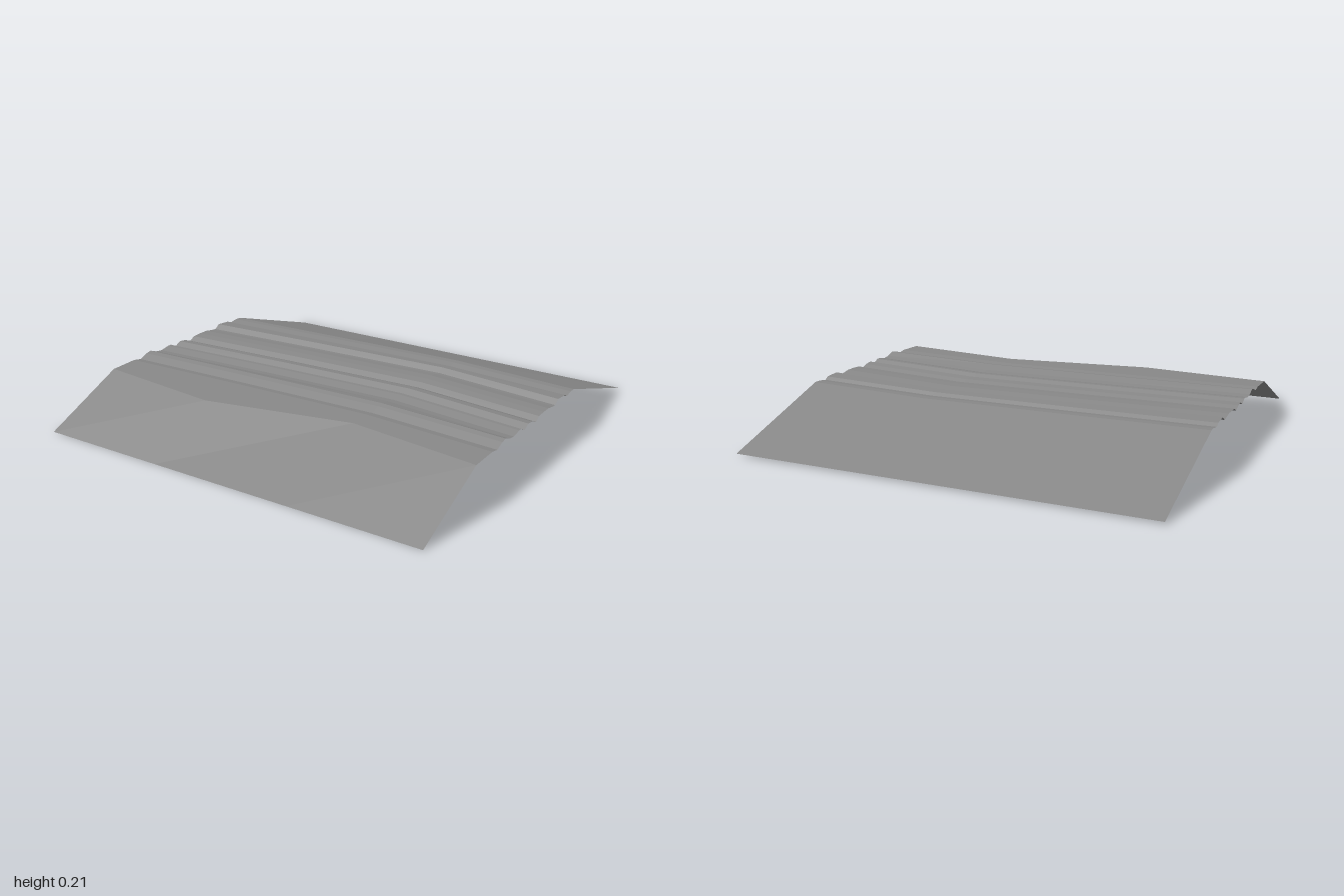
import * as THREE from 'three';

// Cross-section from front edge to back edge at the two side ends: [z, y]
const PROFILE = [
  [1, 0], [0.59, 0.19], [0.45, 0.195], [0.405, 0.187], [0.36, 0.205], [0.33, 0.21],
  [0.29, 0.195], [0.25, 0.19], [0.2, 0.2], [0.18, 0.2], [0.145, 0.182], [0.11, 0.2],
  [0.07, 0.195], [0.03, 0.18], [0, 0.197], [-0.05, 0.2], [-0.1, 0.2], [-0.15, 0.192],
  [-0.175, 0.19], [-0.205, 0.21], [-0.28, 0.205], [-0.3, 0.192], [-0.35, 0.2],
  [-0.385, 0.2], [-1, 0.01],
];

// Stations across the width: the ridges drift backwards, the front lip swings
const STATIONS = [
  { x: -1, shift: 0, lip: 0.59, lipY: 0.19 },
  { x: -0.36, shift: -0.04, lip: 0.65, lipY: 0.185 },
  { x: 0.36, shift: -0.075, lip: 0.51, lipY: 0.192 },
  { x: 1, shift: 0, lip: 0.59, lipY: 0.19 },
];

function sectionPoint(station, j) {
  const [z, y] = PROFILE[j];
  if (j === 0 || j === PROFILE.length - 1) return [station.x, y, z];
  if (j === 1) return [station.x, station.lipY, station.lip];
  // the drift eases off towards the front and back shoulders
  const ease = z > 0.3 ? 0.65 : z < -0.27 ? 0.65 : 1;
  return [station.x, y, z + station.shift * ease];
}

export function createModel() {
  const group = new THREE.Group();
  group.name = 'embankment';

  const stone = new THREE.MeshStandardMaterial({ color: 0x888888, side: THREE.DoubleSide, flatShading: true });
  stone.name = 'grey stone';

  // Loft the sections into one faceted open sheet
  const positions = [];
  for (let i = 0; i < STATIONS.length - 1; i++) {
    for (let j = 0; j < PROFILE.length - 1; j++) {
      const a = sectionPoint(STATIONS[i], j);
      const b = sectionPoint(STATIONS[i + 1], j);
      const c = sectionPoint(STATIONS[i + 1], j + 1);
      const d = sectionPoint(STATIONS[i], j + 1);
      positions.push(...a, ...b, ...c, ...a, ...c, ...d);
    }
  }
  const geometry = new THREE.BufferGeometry();
  geometry.setAttribute('position', new THREE.Float32BufferAttribute(positions, 3));
  geometry.computeVertexNormals();

  const sheet = new THREE.Mesh(geometry, stone);
  sheet.name = 'ridgedSlope';
  group.add(sheet);
  return group;
}
